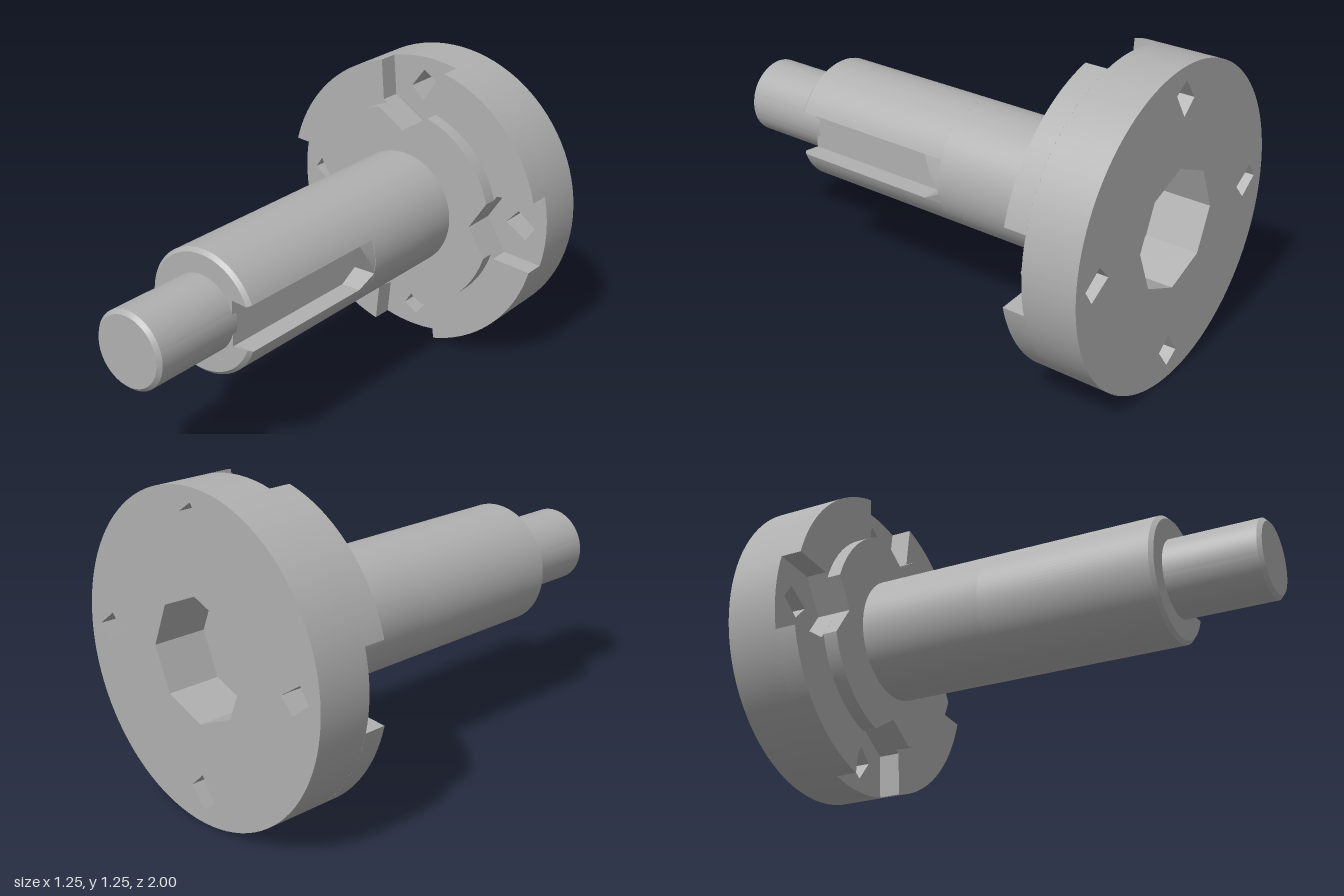
import * as THREE from 'three';
import { toCreasedNormals } from 'three/addons/utils/BufferGeometryUtils.js';

const V = (x, y) => new THREE.Vector2(x, y);
const turn = (pts, k) => pts.map(p => p.clone().rotateAround(V(0, 0), k * Math.PI / 2));

export function createModel() {
  const steel = new THREE.MeshStandardMaterial({ color: 0xb0b0b0 });
  steel.name = 'steel grey';
  const model = new THREE.Group();
  model.name = 'keyedShaftWithFlange';
  const axis = new THREE.Group();
  axis.name = 'shaftAxis';
  axis.position.y = 0.625;
  model.add(axis);

  const add = (name, geometry) => {
    const mesh = new THREE.Mesh(toCreasedNormals(geometry, 0.4), steel);
    mesh.name = name;
    axis.add(mesh);
  };
  const slab = (shape, z0, z1) => new THREE.ExtrudeGeometry(shape, {
    depth: z1 - z0, bevelEnabled: false, curveSegments: 48,
  }).translate(0, 0, z0);
  // Solid of revolution about z, from [radius, z] pairs
  const turned = profile => new THREE.LatheGeometry(profile.map(p => V(...p)), 96).rotateX(Math.PI / 2);

  // Back plate with four bolt holes and an octagonal socket
  const plate = new THREE.Shape().absarc(0, 0, 0.625, 0, Math.PI * 2);
  const hole = [V(0, 0.57), V(0.06, 0.53), V(0, 0.435), V(-0.06, 0.49)];
  for (let k = 0; k < 4; k++) plate.holes.push(new THREE.Path(turn(hole, k)));
  const octagon = [];
  for (let i = 0; i < 8; i++) octagon.push(V(0.238, 0).rotateAround(V(0, 0), i * Math.PI / 4));
  plate.holes.push(new THREE.Path(octagon));
  add('backPlate', slab(plate, -1, -0.78));

  // Round plate with four notches; each half notch runs from the rim to the apex
  const notched = (radius, half) => {
    const apex = V(0, 0.345);
    const notch = [...half, apex, ...half.map(p => V(-p.x, p.y)).reverse()];
    const a0 = Math.atan2(half[0].y, half[0].x);
    const shape = new THREE.Shape();
    for (let k = 0; k < 4; k++) {
      const pts = turn(notch, k);
      pts.forEach((p, i) => (k + i === 0 ? shape.moveTo(p.x, p.y) : shape.lineTo(p.x, p.y)));
      const q = k * Math.PI / 2;
      shape.absarc(0, 0, radius, Math.PI - a0 + q, a0 + Math.PI / 2 + q, false);
    }
    return shape;
  };
  add('notchedPlate', slab(notched(0.625, [V(0.155, 0.6055), V(0.14, 0.435)]), -0.78, -0.69));
  add('notchedBoss', slab(notched(0.44, [V(0.122, 0.4228)]), -0.69, -0.63));

  // Main shaft: plain rear part
  const R = 0.25, yTop = 0.095, yLow = -0.09, floorX = 0.15;
  add('mainShaft', turned([[R, -0.63], [R, -0.11], [0, -0.11]]));

  // Front part with an open keyway on the left side
  const keyed = new THREE.Shape();
  keyed.moveTo(floorX, yLow);
  keyed.lineTo(floorX, yTop);
  keyed.absarc(0, 0, R, Math.asin(yTop / R), Math.PI * 2 + Math.asin(yLow / R), false);
  keyed.closePath();
  add('keywayShaft', slab(keyed, -0.11, 0.605));

  // Chamfered front edge
  const chamfer = slab(keyed, 0.605, 0.62);
  const cp = chamfer.attributes.position;
  for (let i = 0; i < cp.count; i++) {
    const r = Math.hypot(cp.getX(i), cp.getY(i));
    if (cp.getZ(i) > 0.61 && r > 0.24) cp.setXY(i, cp.getX(i) * 0.94, cp.getY(i) * 0.94);
  }
  add('shaftChamfer', chamfer);

  // Pointed end of the keyway: two wedges with outer faces following the shaft
  const wedges = [
    [V(0.11, yTop), V(0.03, yTop), V(0.07, 0.025), V(0.11, -0.045), V(0.11, 0.025)],
    [V(0.11, yLow), V(0.11, -0.045), V(0.03, yLow)],
  ];
  for (const pts of wedges) {
    const wedge = slab(new THREE.Shape(pts), floorX, R).rotateY(Math.PI / 2);
    const wp = wedge.attributes.position;
    for (let i = 0; i < wp.count; i++) {
      if (wp.getX(i) > 0.2) wp.setX(i, Math.sqrt(R * R - wp.getY(i) ** 2));
    }
    add('keywayEnd', wedge);
  }

  // Narrow chamfered end journal
  add('endJournal', turned([[0.155, 0.6], [0.155, 0.985], [0.14, 1], [0, 1]]));

  return model;
}
